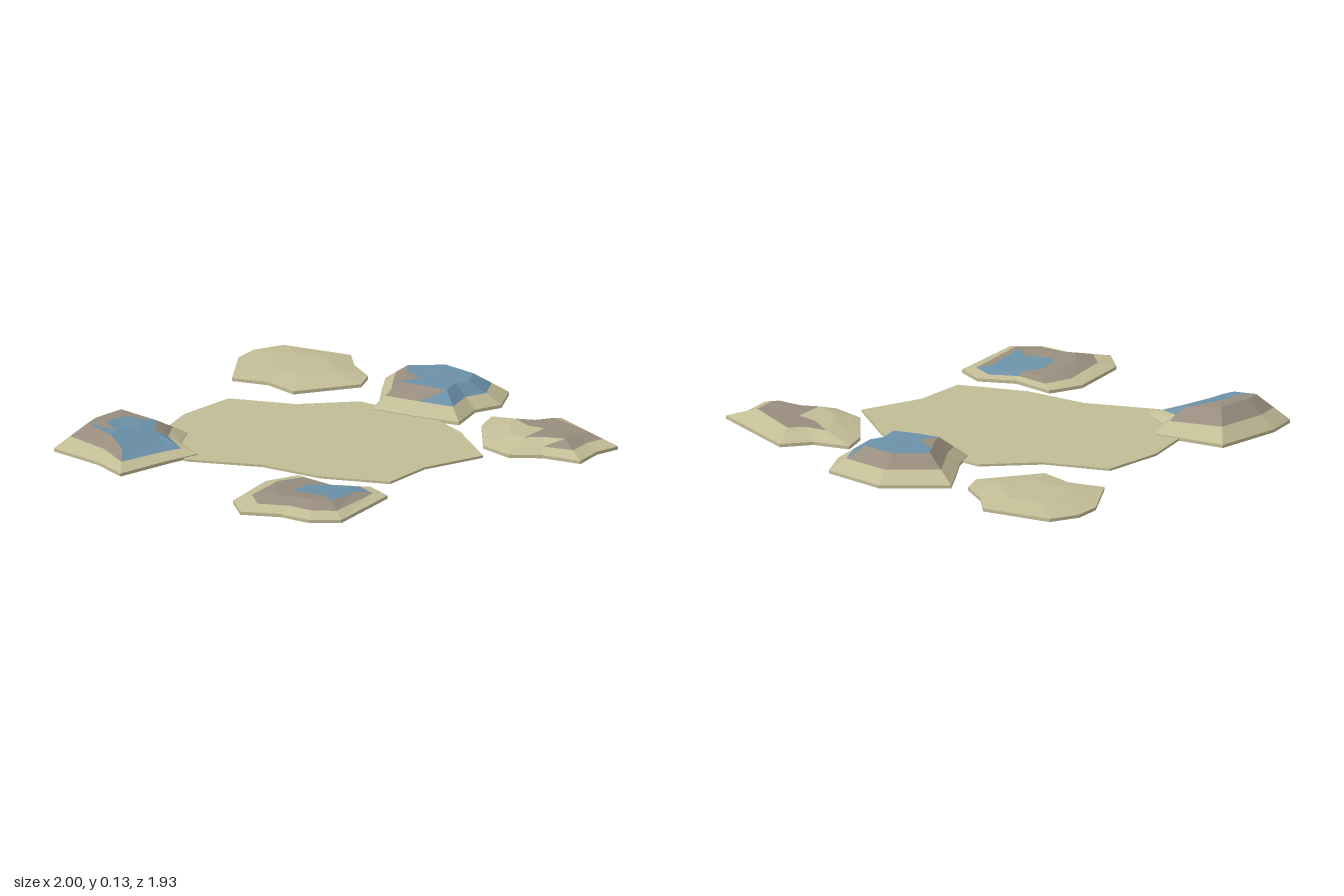
import * as THREE from 'three';

const mat = (name, color) => {
  const m = new THREE.MeshStandardMaterial({ color, flatShading: true });
  m.name = name;
  return m;
};

// Plan outlines are [x, z] pairs in hundredths of a unit, running clockwise seen from above.
const at = (outline, y) => outline.map(([x, z]) => new THREE.Vector3(x / 100, y, z / 100));
const blend = (a, b, t) => a.map((p, i) => p.clone().lerp(b[i], t));
const middle = (ring) => ring.reduce((s, p) => s.add(p), new THREE.Vector3()).divideScalar(ring.length);

// Joins rings from the underside up to the crown and sorts the faces by colour.
function buildLand(name, rings, paint, materials) {
  const faces = { sand: [], rock: [], water: [] };
  const tri = (a, b, c, band) => {
    const m = middle([a, b, c]);
    const key = band === 'beach' ? 'sand' : paint(band, m.x, m.z);
    for (const p of [a, b, c]) faces[key].push(p.x, p.y, p.z);
  };
  const n = rings[0].length;
  const last = rings[rings.length - 1];
  const low = middle(rings[0]);
  const peak = middle(last);
  for (let i = 0; i < n; i++) {
    const j = (i + 1) % n;
    tri(rings[0][i], rings[0][j], low, 'beach');
    for (let k = 0; k + 1 < rings.length; k++) {
      const band = k < 2 ? 'beach' : k === 2 ? 'slope' : 'crown';
      const [a, b] = [rings[k], rings[k + 1]];
      tri(a[j], a[i], b[i], band);
      tri(a[j], b[i], b[j], band);
    }
    tri(last[j], last[i], peak, 'crown');
  }
  const group = new THREE.Group();
  group.name = name;
  for (const key of Object.keys(faces)) {
    if (!faces[key].length) continue;
    const g = new THREE.BufferGeometry();
    g.setAttribute('position', new THREE.Float32BufferAttribute(faces[key], 3));
    g.computeVertexNormals();
    const mesh = new THREE.Mesh(g, materials[key]);
    mesh.name = `${name}_${key}`;
    group.add(mesh);
  }
  return group;
}

// Island: the crown is the outline shrunk towards (cx, cz), lifted by a height rule.
function buildIsland(name, outline, cx, cz, shrink, height, paint, materials) {
  const rim = at(outline, 0.014);
  const centre = new THREE.Vector3(cx, 0, cz);
  const ring = (s) => rim.map((p) => {
    const q = centre.clone().lerp(p, s);
    q.y = height(q.x, q.z);
    return q;
  });
  const crown = ring(shrink);
  const rings = [at(outline, 0), rim, blend(rim, crown, 0.48), crown, ring(shrink / 2)];
  return buildLand(name, rings, paint, materials);
}

export function createModel() {
  const materials = {
    sand: mat('sand', 0xc2bc96),
    rock: mat('rock', 0x988d7e),
    water: mat('water', 0x6b91a8),
  };
  const model = new THREE.Group();
  model.name = 'islands';
  const island = (...args) => model.add(buildIsland(...args, materials));

  // Flat central sandbank
  const bank = [[-66, -13], [-40, -26], [-22, -47], [19, -50], [36, -45], [64, -28],
    [56, 0], [58, 24], [31, 38], [3, 43], [-26, 59], [-58, 39], [-66, 15]];
  model.add(buildLand('sandbank', [at(bank, 0), at(bank, 0.01)], () => 'sand', materials));

  // Low sandy shoal
  island('backRightShoal',
    [[-95, -80], [-65, -89], [-55, -80], [-41, -73], [-36, -63], [-51, -37],
      [-67, -39], [-82, -33], [-98, -55], [-100, -67]],
    -0.68, -0.63, 0.48, () => 0.034, () => 'sand');

  // Tall hill with a lake on top that spills down one side
  island('backHill',
    [[-34, -76], [-12, -97], [17, -97], [26, -82], [22, -70], [28, -53],
      [9, -47], [-11, -42], [-16, -52], [-26, -65]],
    -0.01, -0.69, 0.53,
    (x) => 0.114 - 0.04 * Math.max(0, x),
    (band, x, z) => {
      if (band === 'crown') return x < -0.03 && z > -0.64 ? 'rock' : 'water';
      return x > 0.12 && z < -0.56 ? 'water' : 'rock';
    });

  // Sandy island with a rocky patch
  island('backLeftIsland',
    [[33, -68], [48, -74], [56, -86], [99, -74], [97, -63], [100, -49],
      [83, -44], [72, -35], [56, -37], [38, -56]],
    0.68, -0.63, 0.56,
    (x) => 0.045 + 0.055 * (x - 0.5),
    (band, x, z) => {
      if (band === 'crown') return x > 0.54 && (z < -0.6 || x > 0.68) ? 'rock' : 'sand';
      return x > 0.85 ? 'rock' : 'sand';
    });

  // Ridge with water running down its inner side
  island('frontRightHill',
    [[-79, 42], [-48, 33], [-41, 45], [-26, 51], [-29, 64], [-33, 92],
      [-50, 87], [-76, 86], [-80, 72]],
    -0.54, 0.66, 0.52,
    (x) => 0.126 - 0.42 * Math.max(0, x + 0.57),
    (band, x) => (x > (band === 'crown' ? -0.59 : -0.42) ? 'water' : 'rock'));

  // Rocky island sloping back into a pool
  island('frontLeftIsland',
    [[24, 44], [43, 44], [57, 35], [70, 39], [77, 76], [67, 85],
      [53, 87], [38, 96], [26, 87], [19, 59]],
    0.49, 0.58, 0.55,
    (x, z) => 0.056 - 0.08 * Math.max(0, 0.75 - z),
    (band, x, z) => {
      const pool = band === 'crown' ? x > 0.42 && z < 0.67 : x > 0.48 && z < 0.53;
      return pool ? 'water' : 'rock';
    });

  return model;
}
